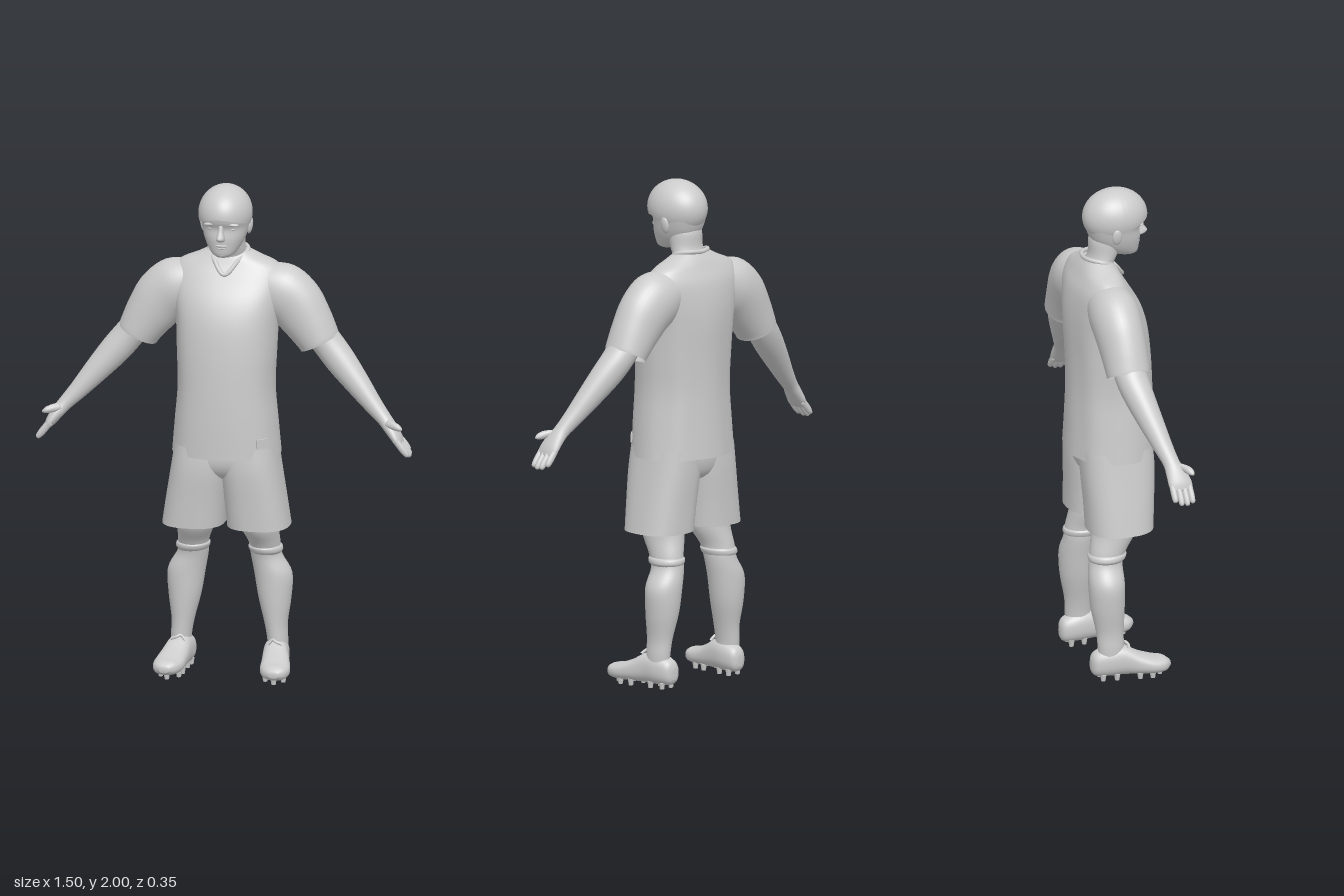
import * as THREE from 'three';

const solid = new THREE.MeshStandardMaterial({ color: 0xcccccc });
const cloth = new THREE.MeshStandardMaterial({ color: 0xcccccc, side: THREE.DoubleSide });

// Smooth curve through rows of numbers
function smoothRows(rows, steps) {
  const out = [];
  const at = i => rows[Math.max(0, Math.min(rows.length - 1, i))];
  for (let i = 0; i < rows.length - 1; i++) {
    for (let k = 0; k < steps; k++) {
      const t = k / steps, [p, a, b, q] = [at(i - 1), at(i), at(i + 1), at(i + 2)];
      out.push(a.map((v, c) => {
        const m0 = (b[c] - p[c]) / 2, m1 = (q[c] - v) / 2, d = b[c] - v;
        return v + t * (m0 + t * (3 * d - 2 * m0 - m1 + t * (m0 + m1 - 2 * d)));
      }));
    }
  }
  out.push(rows[rows.length - 1]);
  return out;
}

// Loft of rounded sections; row = [x, y, z, halfU, halfV, tilt of U in degrees]
function loft(name, rows, { side = 1, v = [0, 0, 1], n = 2, open = false, seg = 36, steps = 5, ripple } = {}) {
  const rings = smoothRows(rows.map(r => [...r, 0].slice(0, 6)), steps);
  const pos = [], idx = [], pw = (x) => Math.sign(x) * Math.abs(x) ** (2 / n);
  rings.forEach(([x, y, z, a, b, deg], i) => {
    const ang = deg * Math.PI / 180;
    for (let j = 0; j < seg; j++) {
      const th = j / seg * Math.PI * 2, k = ripple ? ripple(th, i / (rings.length - 1)) : 1;
      const p = pw(Math.cos(th)) * a * k, q = pw(Math.sin(th)) * b * k;
      pos.push(side * (x + p * Math.cos(ang) + q * v[0]), y + p * Math.sin(ang) + q * v[1], z + q * v[2]);
    }
  });
  const first = rings[0], last = rings[rings.length - 1];
  const a0 = first[5] * Math.PI / 180;
  const axis = new THREE.Vector3(Math.cos(a0), Math.sin(a0), 0).cross(new THREE.Vector3(...v));
  const travel = new THREE.Vector3(last[0] - first[0], last[1] - first[1], last[2] - first[2]);
  const flip = axis.dot(travel) * side < 0;
  const tri = (a, b, c) => flip ? idx.push(a, c, b) : idx.push(a, b, c);
  for (let i = 0; i < rings.length - 1; i++) {
    for (let j = 0; j < seg; j++) {
      const a = i * seg + j, b = i * seg + (j + 1) % seg;
      tri(a, b, b + seg);
      tri(a, b + seg, a + seg);
    }
  }
  if (!open) {
    const c = pos.length / 3, e = (rings.length - 1) * seg;
    pos.push(side * first[0], first[1], first[2], side * last[0], last[1], last[2]);
    for (let j = 0; j < seg; j++) {
      const k = (j + 1) % seg;
      tri(c, k, j);
      tri(c + 1, e + j, e + k);
    }
  }
  const g = new THREE.BufferGeometry();
  g.setAttribute('position', new THREE.Float32BufferAttribute(pos, 3));
  g.setIndex(idx);
  g.computeVertexNormals();
  const m = new THREE.Mesh(g, open ? cloth : solid);
  m.name = name;
  return m;
}

function ball(name, x, y, z, rx, ry, rz, tilt = 0) {
  const m = new THREE.Mesh(new THREE.SphereGeometry(1, 20, 14), solid);
  m.name = name;
  m.position.set(x, y, z);
  m.scale.set(rx, ry, rz);
  m.rotation.z = tilt;
  return m;
}

function tube(name, points, r, closed = false) {
  const curve = new THREE.CatmullRomCurve3(points.map(p => new THREE.Vector3(...p)), closed);
  const m = new THREE.Mesh(new THREE.TubeGeometry(curve, 48, r, 8, closed), solid);
  m.name = name;
  return m;
}

// Hair cap: a dome whose lower edge drops from the forehead to the nape
function hair() {
  const g = new THREE.SphereGeometry(1, 48, 24, 0, Math.PI * 2, 0, Math.PI / 2);
  const p = g.attributes.position;
  for (let i = 0; i < p.count; i++) {
    const phi = Math.atan2(p.getX(i), p.getZ(i));
    const back = (1 - Math.cos(phi)) / 2;
    const th = Math.acos(Math.min(1, p.getY(i))) * (1.0 + 0.42 * back ** 0.8);
    const r = Math.sin(th);
    p.setXYZ(i, 0.106 * r * Math.sin(phi), 1.888 + 0.112 * Math.cos(th), 0.028 + 0.131 * r * Math.cos(phi));
  }
  g.computeVertexNormals();
  const m = new THREE.Mesh(g, cloth);
  m.name = 'hair';
  return m;
}

function head() {
  const g = new THREE.Group();
  g.name = 'head';
  g.add(loft('face', [
    [0, 1.722, 0.085, 0.022, 0.022], [0, 1.735, 0.068, 0.046, 0.052], [0, 1.765, 0.042, 0.068, 0.083],
    [0, 1.80, 0.028, 0.083, 0.1], [0, 1.84, 0.019, 0.093, 0.106], [0, 1.87, 0.022, 0.098, 0.116],
    [0, 1.91, 0.025, 0.098, 0.118], [0, 1.955, 0.028, 0.078, 0.095], [0, 1.985, 0.028, 0.03, 0.04]], { n: 2.2 }));
  g.add(loft('neck', [
    [0, 1.62, -0.055, 0.1, 0.06], [0, 1.69, -0.043, 0.077, 0.056], [0, 1.74, -0.022, 0.07, 0.058],
    [0, 1.80, -0.01, 0.07, 0.068], [0, 1.84, 0, 0.06, 0.06]]));
  g.add(hair());
  g.add(loft('nose', [
    [0, 1.86, 0.122, 0.01, 0.012], [0, 1.835, 0.127, 0.011, 0.018], [0, 1.81, 0.136, 0.017, 0.027],
    [0, 1.798, 0.132, 0.017, 0.02], [0, 1.792, 0.125, 0.008, 0.008]], { seg: 16 }));
  g.add(ball('upperLip', 0, 1.774, 0.121, 0.026, 0.006, 0.008), ball('lowerLip', 0, 1.763, 0.118, 0.022, 0.006, 0.008),
    ball('chin', 0, 1.738, 0.104, 0.026, 0.016, 0.017));
  for (const s of [-1, 1]) {
    g.add(ball('brow', s * 0.04, 1.862, 0.117, 0.03, 0.008, 0.014, -s * 0.1));
    g.add(ball('eye', s * 0.038, 1.841, 0.108, 0.017, 0.008, 0.01));
    g.add(ball('ear', s * 0.094, 1.832, 0.005, 0.011, 0.034, 0.02, -s * 0.15));
  }
  return g;
}

function arm(s) {
  const g = new THREE.Group();
  g.name = s > 0 ? 'leftArm' : 'rightArm';
  g.add(loft('sleeve', [
    [0.13, 1.585, -0.05, 0.085, 0.085, 75], [0.2, 1.56, -0.05, 0.115, 0.098, 60], [0.265, 1.51, -0.05, 0.113, 0.096, 44],
    [0.315, 1.44, -0.047, 0.1, 0.091, 32], [0.355, 1.375, -0.045, 0.086, 0.087, 27], [0.364, 1.357, -0.045, 0.083, 0.085, 27]],
  { side: s, open: true }));
  g.add(loft('forearm', [
    [0.32, 1.45, -0.047, 0.062, 0.066, 32], [0.39, 1.362, -0.043, 0.061, 0.065, 35], [0.45, 1.29, -0.028, 0.06, 0.06, 38],
    [0.52, 1.21, -0.005, 0.05, 0.05, 40], [0.59, 1.13, 0.02, 0.037, 0.039, 42], [0.637, 1.08, 0.037, 0.029, 0.034, 42],
    [0.665, 1.047, 0.048, 0.026, 0.042, 40], [0.692, 1.01, 0.055, 0.021, 0.048, 38], [0.708, 0.985, 0.057, 0.012, 0.042, 37]],
  { side: s }));
  // Fingers side by side, then the thumb
  for (let i = 0; i < 4; i++) {
    const z = 0.021 + i * 0.023, len = [0.8, 0.97, 1, 0.92][i], dx = 0.058 * len, dy = -0.072 * len;
    g.add(loft('finger', [[0.69, 1.01, z, 0.013, 0.012, 38], [0.69 + dx * 0.6, 1.01 + dy * 0.6, z, 0.014, 0.0125, 38],
      [0.69 + dx * 0.92, 1.01 + dy * 0.92, z, 0.01, 0.01, 38], [0.69 + dx, 1.01 + dy, z, 0.003, 0.003, 38]],
    { side: s, seg: 14, steps: 3 }));
  }
  g.add(loft('thumb', [[0.65, 1.07, 0.06, 0.016, 0.02, 65], [0.68, 1.066, 0.083, 0.016, 0.017, 75],
    [0.705, 1.06, 0.094, 0.013, 0.014, 80], [0.72, 1.055, 0.098, 0.004, 0.005, 80]], { side: s, seg: 16 }));
  return g;
}

function leg(s) {
  const g = new THREE.Group();
  g.name = s > 0 ? 'leftLeg' : 'rightLeg';
  g.add(loft('shortsLeg', [
    [0.09, 0.95, 0, 0.112, 0.145], [0.099, 0.85, 0.003, 0.118, 0.146], [0.117, 0.72, 0.002, 0.121, 0.137],
    [0.13, 0.615, 0, 0.124, 0.131]], { side: s, n: 2.5, open: true }));
  g.add(loft('shin', [
    [0.125, 0.68, -0.015, 0.075, 0.095], [0.128, 0.6, -0.022, 0.073, 0.092], [0.142, 0.53, -0.05, 0.062, 0.075],
    [0.147, 0.475, -0.063, 0.062, 0.068], [0.173, 0.4, -0.068, 0.075, 0.072], [0.18, 0.3, -0.066, 0.065, 0.068],
    [0.186, 0.2, -0.059, 0.046, 0.056], [0.193, 0.13, -0.057, 0.041, 0.053], [0.193, 0.07, -0.055, 0.04, 0.05]], { side: s }));
  g.add(loft('sockBand', [[0.143, 0.52, -0.053, 0.06, 0.07], [0.144, 0.512, -0.055, 0.067, 0.077],
    [0.147, 0.497, -0.058, 0.066, 0.075], [0.147, 0.486, -0.06, 0.058, 0.065]], { side: s }));
  g.add(loft('shoe', [
    [0.183, 0.062, -0.137, 0.014, 0.022], [0.184, 0.066, -0.122, 0.037, 0.047], [0.188, 0.074, -0.07, 0.05, 0.06],
    [0.194, 0.076, -0.01, 0.051, 0.061], [0.205, 0.06, 0.05, 0.057, 0.045], [0.213, 0.049, 0.11, 0.06, 0.034],
    [0.217, 0.047, 0.153, 0.047, 0.028], [0.219, 0.046, 0.178, 0.018, 0.012]], { side: s, v: [0, 1, 0], n: 2.4 }));
  g.add(tube('shoeLace', [[s * 0.165, 0.125, 0.01], [s * 0.185, 0.143, 0.005], [s * 0.2, 0.137, 0.012], [s * 0.222, 0.128, 0.01]], 0.006));
  // Sole studs
  for (const [dx, z] of [[-0.025, -0.095], [0.025, -0.095], [-0.027, -0.04], [0.027, -0.04],
    [-0.035, 0.05], [0.035, 0.05], [-0.036, 0.1], [0.036, 0.1], [0, 0.14]]) {
    const stud = new THREE.Mesh(new THREE.CylinderGeometry(0.013, 0.009, 0.026, 12), solid);
    stud.name = 'stud';
    stud.position.set(s * (0.197 + 0.12 * z + dx), 0.013, z);
    g.add(stud);
  }
  return g;
}

export function createModel() {
  const model = new THREE.Group();
  model.name = 'standingMan';
  model.add(head());
  // Shirt body, with soft folds growing toward the hem
  model.add(loft('shirt', [
    [0, 1.728, -0.05, 0.07, 0.045], [0, 1.70, -0.05, 0.125, 0.065], [0, 1.665, -0.05, 0.2, 0.083], [0, 1.61, -0.045, 0.225, 0.112],
    [0, 1.53, -0.028, 0.215, 0.142], [0, 1.44, -0.014, 0.203, 0.158], [0, 1.32, -0.003, 0.197, 0.163],
    [0, 1.18, 0.003, 0.192, 0.165], [0, 1.04, 0.003, 0.203, 0.168], [0, 0.91, 0, 0.214, 0.17]],
  { n: 2.25, seg: 72, open: true,
    ripple: (th, t) => 1 + 0.014 * Math.min(1, t * 1.6) * Math.sin(8 * th + 2.2 * t) * (0.6 - 0.4 * Math.sin(th)) }));
  model.add(tube('collar', [[0, 1.638, 0.058], [0.05, 1.69, 0.012], [0.078, 1.722, -0.045], [0.045, 1.73, -0.092], [0, 1.728, -0.103],
    [-0.045, 1.73, -0.092], [-0.078, 1.722, -0.045], [-0.05, 1.69, 0.012]], 0.009, true));
  const tag = new THREE.Mesh(new THREE.BoxGeometry(0.045, 0.035, 0.012), solid);
  tag.name = 'hemTag';
  tag.position.set(0.16, 0.975, 0.119);
  tag.rotation.y = 0.75;
  model.add(tag);
  model.add(loft('shortsSeat', [[0, 0.96, 0, 0.18, 0.145], [0, 0.88, 0.002, 0.185, 0.14], [0, 0.83, 0, 0.13, 0.115],
    [0, 0.80, 0, 0.05, 0.06]], { n: 2.5 }));
  for (const s of [-1, 1]) model.add(arm(s), leg(s));
  return model;
}
